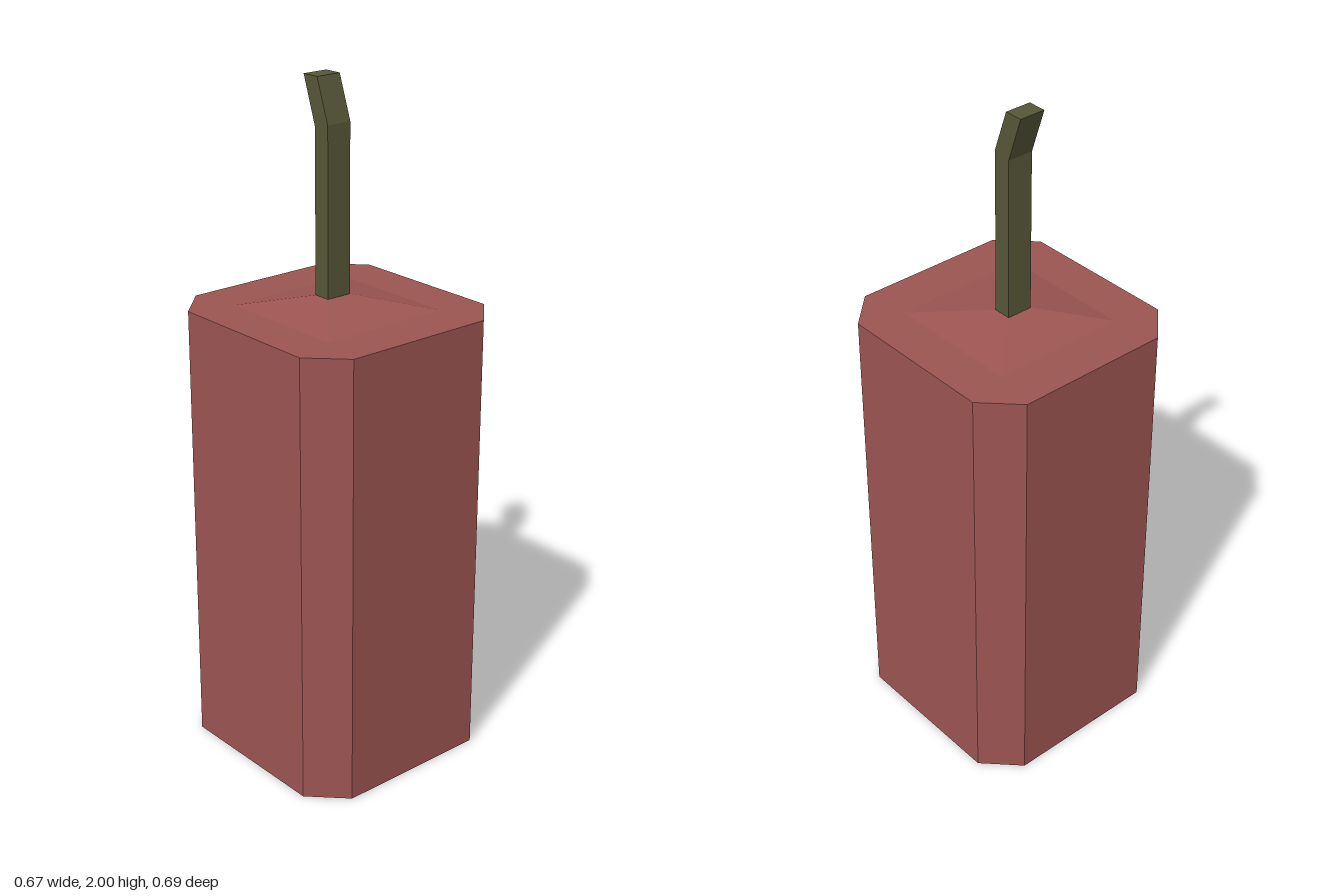
import * as THREE from 'three';

const BODY_HEIGHT = 1.35;
const MOUND_TOP = 1.385;

function shapeFrom(points) {
  return new THREE.Shape(points.map(([x, y]) => new THREE.Vector2(x, y)));
}

// Rectangular block with chamfered vertical corners
function bodyGeometry() {
  const w = 0.337, d = 0.345, c = 0.1;
  const outline = shapeFrom([
    [w, -d + c], [w, d - c], [w - c, d], [-w + c, d],
    [-w, d - c], [-w, -d + c], [-w + c, -d], [w - c, -d],
  ]);
  const geometry = new THREE.ExtrudeGeometry(outline, { depth: BODY_HEIGHT, bevelEnabled: false });
  return geometry.rotateX(-Math.PI / 2);
}

// Shallow faceted rise from a square outline to the foot of the fuse
function moundGeometry() {
  const r = 0.205, s = 0.07;
  const corners = [];
  let ring = [[r, s], [r, r], [s, r]]; // x and depth towards the back
  for (let i = 0; i < 4; i++) {
    const [x, v] = ring[1];
    corners.push({
      outer: ring.map(([px, pv]) => [px, BODY_HEIGHT, -pv]),
      inner: [Math.sign(x) * 0.04, MOUND_TOP, v > 0 ? -0.045 : 0.009],
    });
    ring = ring.map(([px, pv]) => [-pv, px]);
  }
  const positions = [];
  corners.forEach(({ outer: [a, b, c], inner }, i) => {
    const next = corners[(i + 1) % 4];
    positions.push(...a, ...b, ...inner, ...b, ...c, ...inner);
    positions.push(...c, ...next.outer[0], ...inner, ...next.outer[0], ...next.inner, ...inner);
  });
  const geometry = new THREE.BufferGeometry();
  geometry.setAttribute('position', new THREE.Float32BufferAttribute(positions, 3));
  geometry.computeVertexNormals();
  return geometry;
}

// Square fuse whose tip bends to the back
function fuseGeometry() {
  const profile = shapeFrom([
    [-0.045, BODY_HEIGHT], [0.009, BODY_HEIGHT], [0.009, 1.875],
    [-0.035, 2], [-0.091, 2], [-0.045, 1.865],
  ]);
  const geometry = new THREE.ExtrudeGeometry(profile, { depth: 0.08, bevelEnabled: false });
  return geometry.rotateY(-Math.PI / 2).translate(0.04, 0, 0);
}

export function createModel() {
  const red = new THREE.MeshStandardMaterial({ color: 0x9c5552 });
  red.name = 'dull red';
  const olive = new THREE.MeshStandardMaterial({ color: 0x565639 });
  olive.name = 'olive';

  const model = new THREE.Group();
  const add = (name, geometry, material) => {
    const mesh = new THREE.Mesh(geometry, material);
    mesh.name = name;
    model.add(mesh);
  };
  add('body', bodyGeometry(), red);
  add('mound', moundGeometry(), red);
  add('fuse', fuseGeometry(), olive);
  return model;
}
